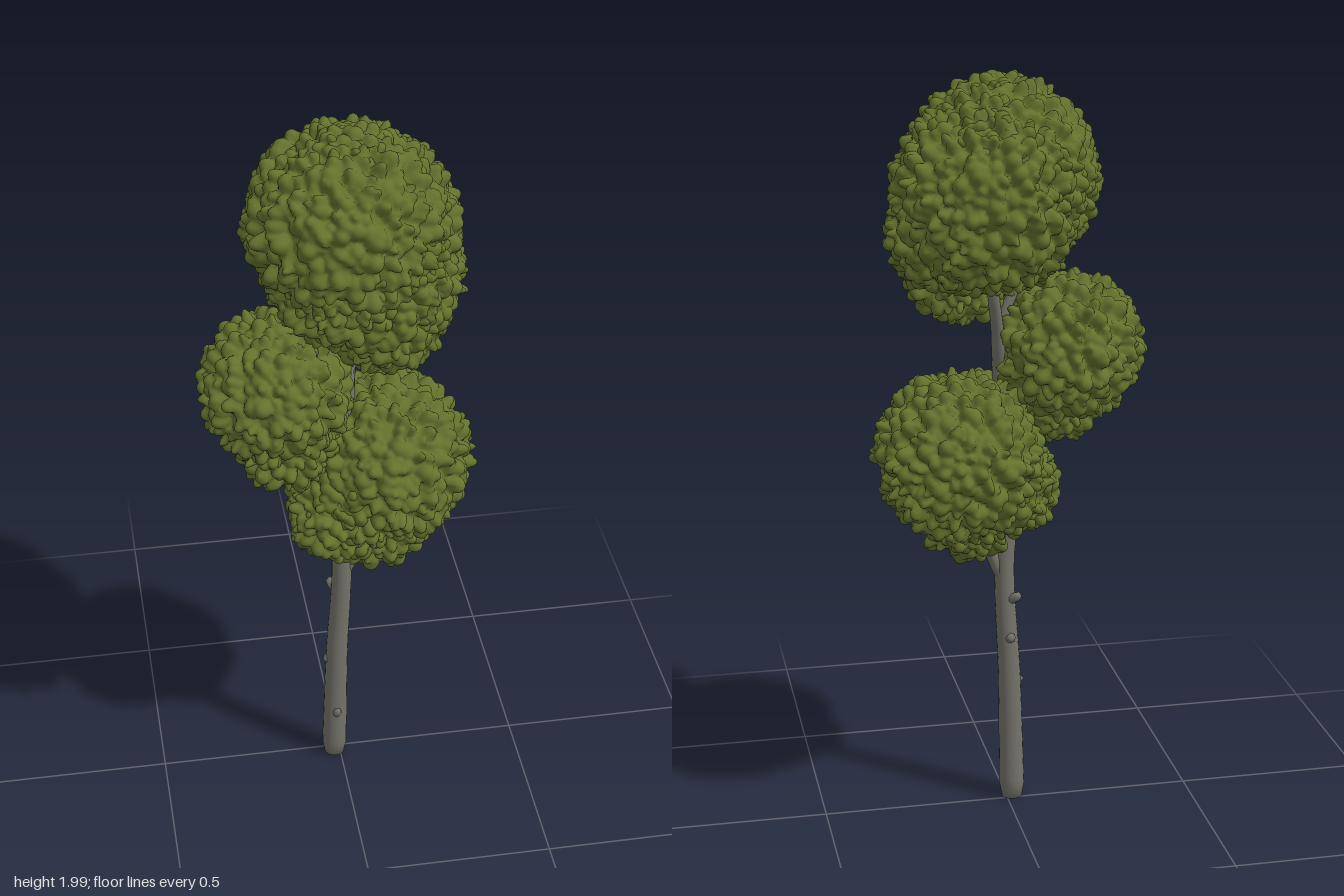
import * as THREE from 'three';
import { mergeVertices } from 'three/addons/utils/BufferGeometryUtils.js';

const bark = new THREE.MeshStandardMaterial({ color: 0x74736a });
bark.name = 'greyBark';
const leaf = new THREE.MeshStandardMaterial({ color: 0x64722d });
leaf.name = 'oliveLeaves';

// Seeded random numbers
function seeded(seed) {
  let s = seed;
  return () => {
    s = (s * 16807) % 2147483647;
    return s / 2147483647;
  };
}

// Drop normals and uvs, weld, then smooth
function smooth(geometry) {
  geometry.deleteAttribute('normal');
  geometry.deleteAttribute('uv');
  const welded = mergeVertices(geometry, 1e-5);
  welded.computeVertexNormals();
  return welded;
}

// Tapered, closed limb along a smooth curve
function limb(name, points, r0, r1, segments = 16, sides = 14) {
  const curve = new THREE.CatmullRomCurve3(points.map((p) => new THREE.Vector3(...p)));
  const g = new THREE.TubeGeometry(curve, segments, 1, sides, false);
  const pos = g.attributes.position;
  const v = new THREE.Vector3();
  for (let i = 0; i <= segments; i++) {
    const t = i / segments;
    const centre = curve.getPointAt(t);
    const fromEnd = Math.min(i, segments - i);
    // the last two rings fold in to make a blunt cap
    const end = curve.getPointAt(i < segments / 2 ? 0 : 1);
    const target = fromEnd < 2 ? end : centre;
    const radius = THREE.MathUtils.lerp(r0, r1, t) * (fromEnd === 0 ? 0 : fromEnd === 1 ? 0.8 : 1);
    for (let j = 0; j <= sides; j++) {
      const k = i * (sides + 1) + j;
      v.fromBufferAttribute(pos, k).sub(centre).multiplyScalar(radius).add(target);
      pos.setXYZ(k, v.x, v.y, v.z);
    }
  }
  const mesh = new THREE.Mesh(smooth(g), bark);
  mesh.name = name;
  return mesh;
}

// Ball of leaves covered in uneven knobs; faces buried in the other balls are left out
function foliage(name, [centre, radii], others, seed) {
  const rand = seeded(seed);
  const [rx, ry, rz] = radii;
  const r = (rx + ry + rz) / 3;
  const count = Math.round((4 * Math.PI * r * r) / 0.0008);
  const knobs = [];
  for (let i = 0; i < count; i++) {
    const h = THREE.MathUtils.clamp(1 - (2 * (i + 0.5 + (rand() - 0.5) * 14)) / count, -1, 1);
    const a = i * 2.39996 + (rand() - 0.5) * 0.4;
    const s = Math.sqrt(1 - h * h);
    knobs.push({
      dir: new THREE.Vector3(s * Math.cos(a), h, s * Math.sin(a)),
      width: (0.013 + rand() * 0.017) / r,
      height: 0.01 + rand() * 0.034,
    });
  }
  const g = smooth(new THREE.IcosahedronGeometry(1, Math.round(r * 110 + 10)));
  const pos = g.attributes.position;
  const v = new THREE.Vector3();
  const buried = [];
  for (let i = 0; i < pos.count; i++) {
    v.fromBufferAttribute(pos, i).normalize();
    let lift = 0;
    for (const k of knobs) {
      const q = v.distanceToSquared(k.dir) / (k.width * k.width);
      if (q < 1) lift = Math.max(lift, k.height * (1 - q) ** 0.6);
    }
    const out = lift - 0.027;
    v.set(v.x * (rx + out), v.y * (ry + out), v.z * (rz + out));
    pos.setXYZ(i, v.x, v.y, v.z);
    buried.push(others.some(([c, rr]) => {
      const d = ['x', 'y', 'z'].map((axis, n) => (v[axis] + centre[n] - c[n]) / (rr[n] - 0.03));
      return Math.hypot(...d) < 1;
    }));
  }
  g.computeVertexNormals();
  const kept = [];
  const index = g.index.array;
  for (let i = 0; i < index.length; i += 3) {
    const face = [index[i], index[i + 1], index[i + 2]];
    if (!face.every((n) => buried[n])) kept.push(...face);
  }
  g.setIndex(kept);
  const mesh = new THREE.Mesh(g, leaf);
  mesh.name = name;
  mesh.position.set(...centre);
  return mesh;
}

export function createModel() {
  const tree = new THREE.Group();
  tree.name = 'tree';

  // Trunk and main branches
  const wood = new THREE.Group();
  wood.name = 'wood';
  wood.add(
    limb('trunk', [[-0.016, 0, 0.016], [-0.009, 0.35, 0.017], [0.003, 0.7, 0.018], [-0.025, 0.9, 0.018],
      [-0.035, 1.05, 0.018], [0.012, 1.17, 0.018], [0.022, 1.3, 0.008]], 0.035, 0.018, 70, 18),
    limb('lowerBranch', [[0.006, 0.63, 0.016], [0.035, 0.7, 0.014], [0.08, 0.8, 0], [0.14, 0.98, 0]], 0.019, 0.01),
    limb('middleBranch', [[-0.035, 1.04, 0.018], [-0.07, 1.12, 0.02], [-0.15, 1.25, 0.02]], 0.015, 0.008),
    limb('upperBackBranch', [[0.02, 1.22, 0.014], [0.03, 1.33, -0.02], [0.05, 1.45, -0.06], [0.07, 1.6, -0.07]], 0.019, 0.012),
    limb('upperFrontBranch', [[0.021, 1.26, 0.01], [0.012, 1.35, 0.01], [-0.03, 1.46, 0.015], [-0.03, 1.6, 0.02]], 0.016, 0.011),
  );

  // Short broken twigs on the trunk
  const twigs = [
    [[-0.012, 0.15, 0.03], [-0.012, 0.178, 0.054]],
    [[-0.018, 0.335, 0.017], [-0.043, 0.352, 0.017]],
    [[-0.005, 0.47, 0], [-0.01, 0.482, -0.018]],
    [[-0.008, 0.58, 0.005], [-0.028, 0.6, -0.018]],
  ];
  for (const ends of twigs) wood.add(limb('twig', ends, 0.016, 0.011, 6, 8));
  tree.add(wood);

  // Three leaf clusters, each made of overlapping balls: [centre, radii]
  const clusters = {
    topFoliage: [
      [[0.015, 1.725, 0.02], [0.25, 0.25, 0.25]],
      [[0.02, 1.9, 0.02], [0.1, 0.085, 0.1]],
      [[0.055, 1.685, -0.02], [0.245, 0.25, 0.248]],
      [[0, 1.6, 0.045], [0.185, 0.18, 0.19]],
      [[0.14, 1.585, 0.02], [0.168, 0.17, 0.18]],
      [[0.11, 1.505, 0.06], [0.16, 0.165, 0.155]],
    ],
    middleFoliage: [
      [[-0.165, 1.27, 0.025], [0.19, 0.195, 0.215]],
      [[-0.15, 1.14, 0.07], [0.125, 0.13, 0.135]],
    ],
    lowerFoliage: [
      [[0.13, 1.0, -0.015], [0.22, 0.22, 0.235]],
      [[0.05, 0.93, 0.015], [0.17, 0.165, 0.18]],
      [[-0.018, 0.89, 0.05], [0.127, 0.135, 0.14]],
      [[0.1, 0.85, 0.025], [0.145, 0.145, 0.145]],
    ],
  };
  let seed = 11;
  for (const [name, balls] of Object.entries(clusters)) {
    const group = new THREE.Group();
    group.name = name;
    balls.forEach((ball, i) => {
      const others = balls.filter((b) => b !== ball);
      group.add(foliage(`${name}Ball${i + 1}`, ball, others, (seed += 97)));
    });
    tree.add(group);
  }
  return tree;
}
